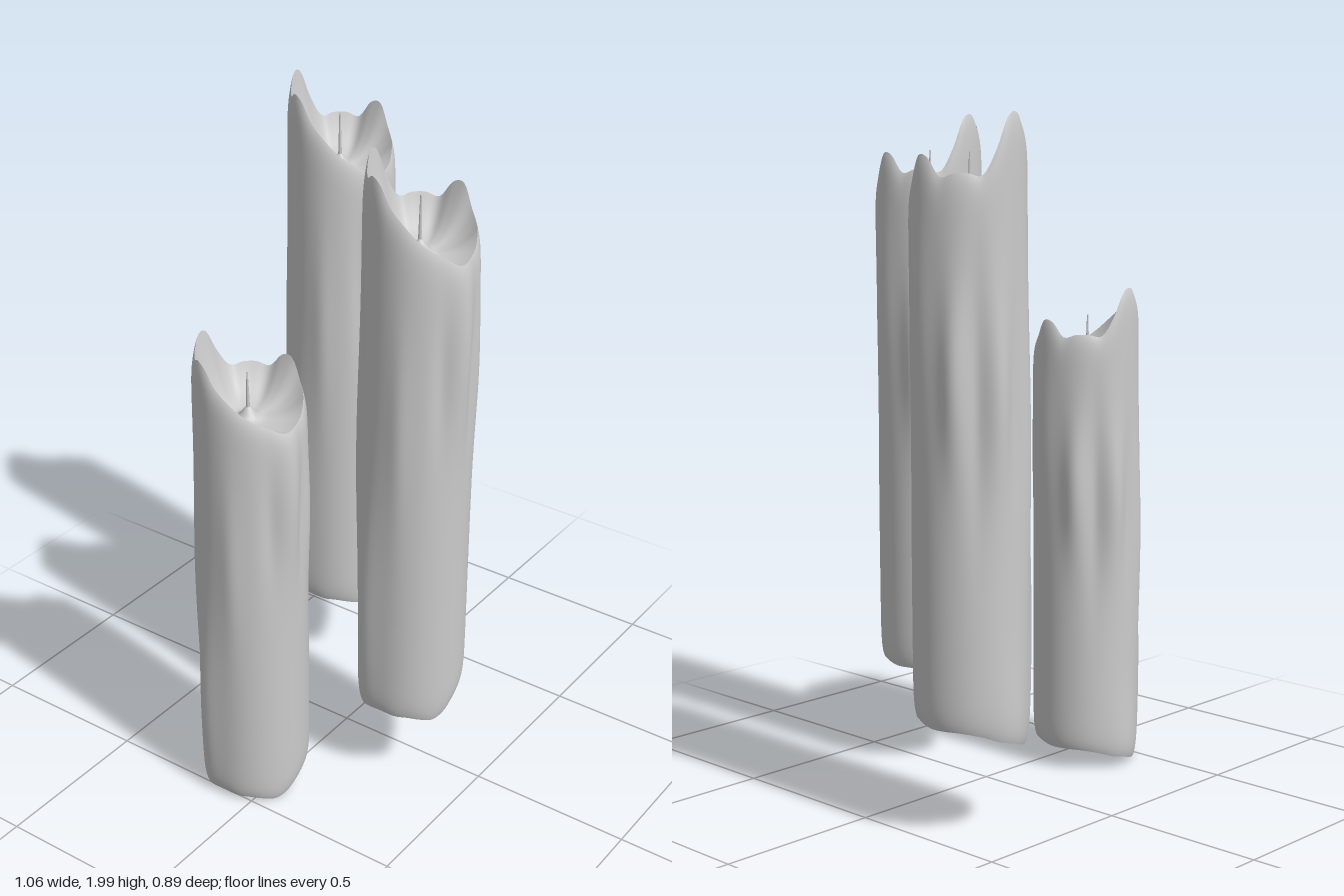
import * as THREE from 'three';

const SEG = 96;
// Rim and base heights every 15 degrees (0 = +x, 90 = +z)
const RIM = [1.63, 1.635, 1.58, 1.555, 1.54, 1.505, 1.495, 1.49, 1.515, 1.54, 1.57, 1.61,
  1.65, 1.705, 1.72, 1.70, 1.715, 1.748, 1.735, 1.65, 1.585, 1.59, 1.59, 1.58];
const BASE = [0.08, 0.085, 0.09, 0.085, 0.08, 0.07, 0.05, 0.02, 0.004, 0.012, 0.02, 0.02,
  0.025, 0.025, 0.02, 0.015, 0.015, 0.025, 0.04, 0.05, 0.065, 0.075, 0.08, 0.08];
// Wax drips and grooves: angle, angular width, height, vertical spread, depth
const DRIPS = [
  [100, 14, 1.25, 0.28, 0.020], [68, 10, 1.15, 0.25, 0.010], [84, 6, 1.15, 0.2, -0.008],
  [122, 8, 1.15, 0.2, -0.008], [40, 9, 1.05, 0.3, -0.007], [10, 14, 1.25, 0.3, 0.008],
  [-30, 12, 1.05, 0.22, 0.020], [-52, 9, 1.0, 0.35, -0.010], [-73, 12, 1.0, 0.25, 0.020],
  [-95, 9, 0.95, 0.3, -0.008], [-118, 14, 0.85, 0.4, 0.012], [-136, 7, 1.0, 0.35, -0.008],
  [-155, 16, 0.35, 0.45, 0.018], [165, 10, 1.0, 0.3, 0.006], [-90, 20, 0.05, 0.2, 0.010],
];

// Smooth closed interpolation of a table over one turn
function sample(table, a) {
  const n = table.length, u = (a / (2 * Math.PI)) * n, i = Math.floor(u), f = u - i;
  const [p, q, r, s] = [-1, 0, 1, 2].map((k) => table[(i + k + n) % n]);
  return q + 0.5 * f * (r - p + f * (2 * p - 5 * q + 4 * r - s + f * (3 * (q - r) + s - p)));
}

function sideRadius(a, y) {
  let r = 0.161;
  for (const [deg, w, h, spread, depth] of DRIPS) {
    let d = (a * 180) / Math.PI - deg;
    d -= 360 * Math.round(d / 360);
    r += depth * Math.exp(-((d / w) ** 2) - ((y - h) / spread) ** 2);
  }
  return r;
}

// Point on the outer wall; t runs from base (0) to rim (1)
function wall(a, t) {
  const lo = sample(BASE, a), hi = sample(RIM, a), y = lo + (hi - lo) * t;
  let r = sideRadius(a, y);
  r -= 0.010 * Math.exp(-(y - lo) / 0.03) + 0.012 * Math.exp(-(hi - y) / 0.035);
  return [0.013 * y / 1.75 - 0.003 + r * Math.cos(a), y, r * Math.sin(a)];
}

// Closed rings joined into a smooth surface, ordered bottom to top for outward faces
function ringSurface(rows, point) {
  const pos = [], idx = [];
  for (let j = 0; j <= rows; j++)
    for (let i = 0; i < SEG; i++) pos.push(...point((i / SEG) * 2 * Math.PI, j / rows));
  for (let j = 0; j < rows; j++)
    for (let i = 0; i < SEG; i++) {
      const k = (i + 1) % SEG, a = j * SEG + i, b = j * SEG + k;
      idx.push(a, a + SEG, b, b, a + SEG, b + SEG);
    }
  const g = new THREE.BufferGeometry();
  g.setAttribute('position', new THREE.Float32BufferAttribute(pos, 3));
  g.setIndex(idx);
  g.computeVertexNormals();
  return g;
}

// Melted hollow running from the rim in to the mound around the wick
function bowl(a, t) {
  const [x, y, z] = wall(a, 1), s = 1 - t * 0.995;
  const floor = 1.475 + 0.045 * Math.exp(-((s / 0.16) ** 2));
  return [x * s, floor + (y - floor) * s ** 3, z * s];
}

// Slanted underside from its centre out to the base edge
function underside(a, t) {
  const [x, y, z] = wall(a, 0), s = 0.005 + 0.995 * t;
  return [x * s, 0.045 + (y - 0.045) * s, z * s];
}

export function createModel() {
  const model = new THREE.Group();
  const mat = new THREE.MeshStandardMaterial({ color: 0xcccccc, side: THREE.DoubleSide });
  const wickGeo = new THREE.CylinderGeometry(0.002, 0.006, 0.14, 8);
  wickGeo.translate(0, 1.575, 0);
  const parts = {
    waxBody: ringSurface(70, (a, t) => wall(a, 0.5 - 0.5 * Math.cos(Math.PI * t))),
    meltedHollow: ringSurface(36, bowl),
    underside: ringSurface(6, underside),
    wick: wickGeo,
  };

  // Two tall candles and one shorter one
  const candles = [
    ['frontCandle', -0.035, 0.25, 0.266, 1],
    ['rightCandle', 0.35, 0.25, -0.275, 1],
    ['shortCandle', -0.365, 0.005, -0.078, 0.848],
  ];
  for (const [name, x, y, z, height] of candles) {
    const candle = new THREE.Group();
    candle.name = name;
    for (const [part, geo] of Object.entries(parts)) {
      const mesh = new THREE.Mesh(geo, mat);
      mesh.name = part;
      candle.add(mesh);
    }
    candle.position.set(x, y, z);
    candle.scale.y = height;
    model.add(candle);
  }
  return model;
}
